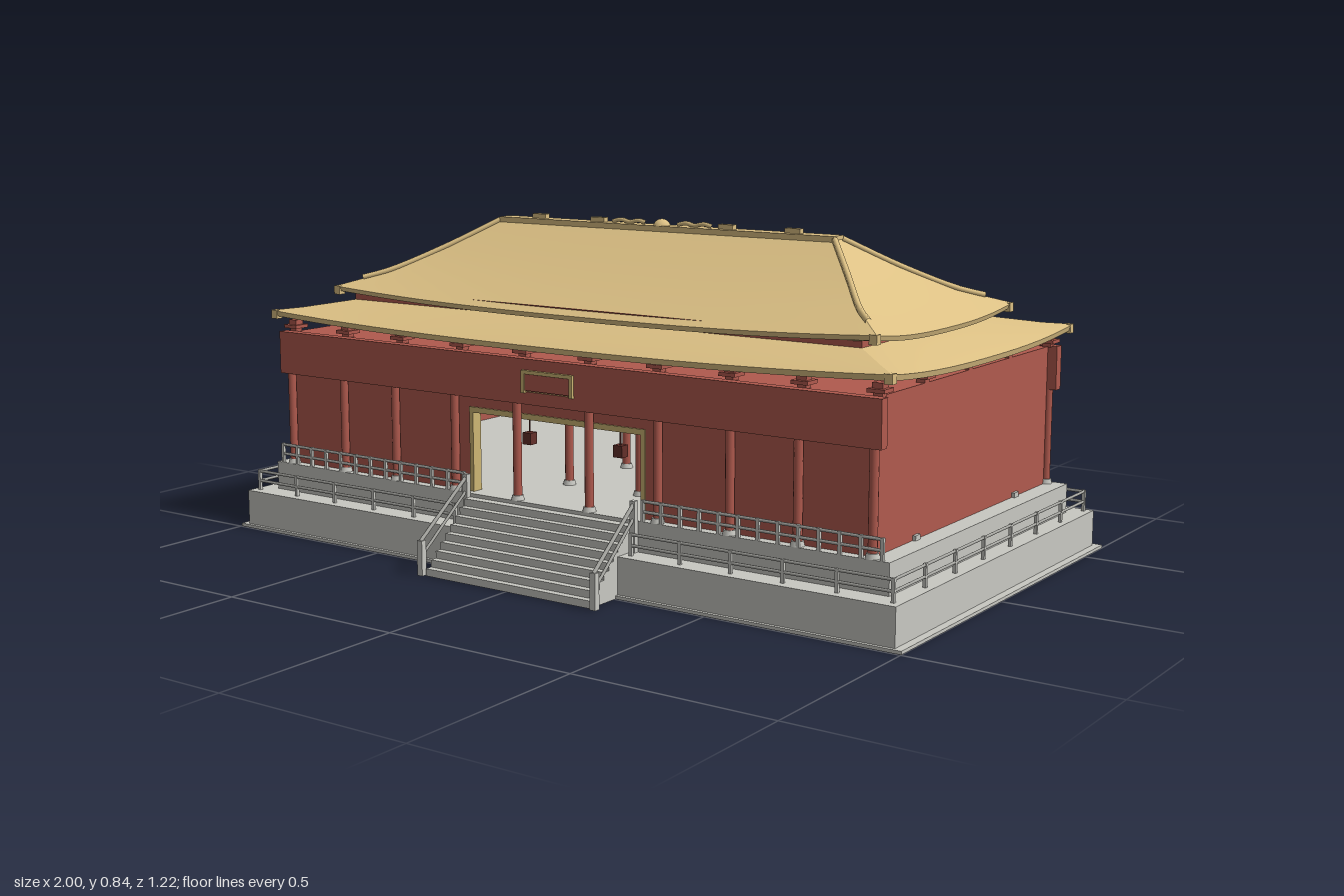
import * as THREE from 'three';

const mat = (name, color, side = THREE.FrontSide) => {
  const m = new THREE.MeshStandardMaterial({ color, side });
  m.name = name;
  return m;
};
const ZC = -0.055; // centre of the hall in z

export function createModel() {
  const root = new THREE.Group();
  root.name = 'hall';
  const stone = mat('stone', 0xc8c8c2);
  const red = mat('red paint', 0xb05a4e);
  const tile = mat('roof tile', 0xdcc084);
  const gold = mat('gold trim', 0xcdb674);
  const dark = mat('dark wood', 0x63302a);
  const rail = mat('railing grey', 0xa9a9a4);

  const add = (name, geo, m, x = 0, y = 0, z = 0, parent = root) => {
    const mesh = new THREE.Mesh(geo, m);
    mesh.name = name;
    mesh.position.set(x, y, z);
    parent.add(mesh);
    return mesh;
  };
  // box given by its limits
  const box = (name, m, x0, x1, y0, y1, z0, z1) =>
    add(name, new THREE.BoxGeometry(x1 - x0, y1 - y0, z1 - z0), m, (x0 + x1) / 2, (y0 + y1) / 2, (z0 + z1) / 2);
  // round bar between two points
  const bar = (name, m, a, b, r, sides = 6) => {
    const A = new THREE.Vector3(...a), B = new THREE.Vector3(...b), d = B.clone().sub(A);
    const mesh = add(name, new THREE.CylinderGeometry(r, r, d.length(), sides), m);
    mesh.position.copy(A).add(B).multiplyScalar(0.5);
    mesh.quaternion.setFromUnitVectors(new THREE.Vector3(0, 1, 0), d.normalize());
    return mesh;
  };

  // Terrace
  box('groundSlab', stone, -1, 1, 0, 0.008, -0.612, 0.497);
  box('lowerTerrace', stone, -0.98, 0.98, 0.008, 0.1, -0.595, 0.488);
  box('upperTerrace', stone, -0.93, 0.93, 0.1, 0.175, -0.535, 0.425);

  // Stairs and their sloping handrails
  const STEPS = 9;
  for (let i = 0; i < STEPS; i++) {
    const h = 0.175 * (i + 1) / (STEPS + 0.5);
    box('step', stone, -0.25, 0.25, 0, h, 0.42, 0.597 - i * 0.0185);
  }
  for (const s of [-1, 1]) {
    box('stairPost', stone, s * 0.263 - 0.008, s * 0.263 + 0.008, 0, 0.088, 0.589, 0.605);
    box('stairTopPost', stone, s * 0.257 - 0.007, s * 0.257 + 0.007, 0.1, 0.225, 0.425, 0.439);
    bar('stairHandrail', rail, [s * 0.263, 0.086, 0.6], [s * 0.257, 0.22, 0.43], 0.005);
    bar('stairLowerRail', rail, [s * 0.263, 0.05, 0.595], [s * 0.257, 0.185, 0.43], 0.004);
  }

  // Railings along straight runs
  const railing = (name, x0, z0, x1, z1, y0, h, n) => {
    for (const f of [0.45, 0.93])
      bar(name + 'Bar', rail, [x0, y0 + h * f, z0], [x1, y0 + h * f, z1], 0.004);
    for (let i = 0; i <= n; i++) {
      const x = x0 + (x1 - x0) * i / n, z = z0 + (z1 - z0) * i / n;
      box(name + 'Post', stone, x - 0.004, x + 0.004, y0, y0 + h, z - 0.004, z + 0.004);
    }
  };
  railing('backRailing', -0.96, -0.575, 0.96, -0.575, 0.1, 0.055, 13);
  for (const s of [-1, 1]) {
    railing('sideRailing', s * 0.96, 0.462, s * 0.96, -0.575, 0.1, 0.055, 7);
    railing('frontRailing', s * 0.27, 0.462, s * 0.96, 0.462, 0.1, 0.055, 5);
    railing('porchRailing', s * 0.275, 0.421, s * 0.91, 0.421, 0.175, 0.052, 12);
  }

  // Walls around an open doorway and a hollow hall
  for (const s of [-1, 1]) {
    const a = s * 0.86, b = s * 0.88;
    box('sideWall', red, Math.min(a, b), Math.max(a, b), 0.175, 0.53, -0.5, 0.4);
    box('frontWall', red, s > 0 ? 0.262 : -0.86, s > 0 ? 0.86 : -0.262, 0.175, 0.53, 0.375, 0.4);
  }
  box('doorLintel', red, -0.262, 0.262, 0.388, 0.53, 0.375, 0.4);
  box('backWall', red, -0.86, 0.86, 0.175, 0.53, -0.5, -0.48);
  box('ceiling', red, -0.86, 0.86, 0.52, 0.53, -0.48, 0.375);
  box('frontBeam', red, -0.905, 0.905, 0.42, 0.532, 0.4, 0.427);
  box('backBeam', red, -0.905, 0.905, 0.42, 0.532, -0.528, -0.5);

  // Columns on stone bases
  const column = (x, z, top = 0.42) => {
    add('column', new THREE.CylinderGeometry(0.011, 0.011, top - 0.185, 12), red, x, (top + 0.185) / 2, z);
    add('columnBase', new THREE.CylinderGeometry(0.014, 0.017, 0.012, 12), stone, x, 0.181, z);
  };
  for (const s of [-1, 1]) {
    for (const x of [0.11, 0.31, 0.51, 0.69, 0.88]) column(s * x, 0.41);
    for (const x of [0.72, 0.88]) column(s * x, -0.513);
    for (const z of [0.2, -0.05, -0.3]) column(s * 0.11, z, 0.52);
    for (const z of [0.21, -0.32])
      box('sideWallBase', stone, s * 0.878 - 0.01, s * 0.878 + 0.01, 0.175, 0.187, z - 0.012, z + 0.012);
    // Lanterns inside the doorway
    box('lantern', dark, s * 0.14 - 0.013, s * 0.14 + 0.013, 0.297, 0.327, 0.31, 0.336);
    bar('lanternCord', dark, [s * 0.14, 0.327, 0.323], [s * 0.14, 0.52, 0.323], 0.002);
    // Door frame
    box('doorJamb', gold, s * 0.262 - 0.006, s * 0.262 + 0.006, 0.175, 0.39, 0.374, 0.404);
  }
  box('doorHead', gold, -0.268, 0.268, 0.377, 0.391, 0.374, 0.404);
  box('innerBeam', gold, -0.13, 0.13, 0.35, 0.357, -0.478, -0.47);
  box('throneScreen', red, -0.03, 0.03, 0.175, 0.31, -0.45, -0.43);

  // Name board, left blank
  box('signPanel', red, -0.07, 0.07, 0.455, 0.495, 0.427, 0.431);
  for (const s of [-1, 1]) {
    box('signFrameSide', gold, s * 0.073 - 0.005, s * 0.073 + 0.005, 0.449, 0.501, 0.427, 0.435);
    box('signFrameRail', gold, -0.078, 0.078, 0.475 + s * 0.021, 0.475 + s * 0.021 + s * 0.005 + 0.004, 0.427, 0.435);
  }

  // Bracket sets under the eaves
  const bracket = (x, z) => {
    box('bracketFoot', red, x - 0.011, x + 0.011, 0.53, 0.54, z - 0.011, z + 0.011);
    box('bracketArm', red, x - 0.022, x + 0.022, 0.54, 0.549, z - 0.022, z + 0.022);
    box('bracketCap', red, x - 0.013, x + 0.013, 0.549, 0.562, z - 0.013, z + 0.013);
  };
  for (const s of [-1, 1]) {
    for (const z of [0.39, -0.5])
      for (const x of [0.1, 0.3, 0.5, 0.69, 0.88]) bracket(s * x, z);
    for (const z of [0.17, -0.055, -0.275]) bracket(s * 0.87, z);
  }

  // Four-sided roof skin from rings [halfX, halfZ, y, cornerLift]
  const ringSkin = (name, m, rings) => {
    const N = 20, pos = [], idx = [];
    for (let k = 0; k < 4; k++) {
      const start = pos.length / 3;
      rings.forEach(([hx, hz, y, lift]) => {
        for (let i = 0; i <= N; i++) {
          const u = -1 + 2 * i / N, h = y + lift * Math.abs(u) ** 2.5;
          const p = [[u * hx, hz], [hx, -u * hz], [-u * hx, -hz], [-hx, u * hz]][k];
          pos.push(p[0], h, p[1]);
        }
      });
      for (let j = 0; j < rings.length - 1; j++)
        for (let i = 0; i < N; i++) {
          const a = start + j * (N + 1) + i, d = a + N + 1;
          idx.push(a, a + 1, d, a + 1, d + 1, d);
        }
    }
    const g = new THREE.BufferGeometry();
    g.setAttribute('position', new THREE.Float32BufferAttribute(pos, 3));
    g.setIndex(idx);
    g.computeVertexNormals();
    return add(name, g, m, 0, 0, ZC);
  };
  const roof = (name, rings, thick, inner) => {
    const [hx, hz, y, lift] = rings[0];
    const low = [hx - 0.004, hz - 0.004, y - thick, lift];
    ringSkin(name + 'Tiles', tile, rings);
    ringSkin(name + 'Eave', tile, [low, rings[0]]);
    ringSkin(name + 'Soffit', tile, [inner, low]);
  };
  roof('lowerRoof', [[0.93, 0.485, 0.565, 0.022], [0.87, 0.425, 0.586, 0.008], [0.77, 0.33, 0.612, 0]],
    0.014, [0.85, 0.42, 0.563, 0]);
  box('roofBand', red, -0.77, 0.77, 0.56, 0.64, ZC - 0.33, ZC + 0.33);
  const upper = [[0.82, 0.355, 0.625, 0.022], [0.72, 0.25, 0.677, 0.006], [0.62, 0.13, 0.745, 0], [0.52, 0.018, 0.815, 0]];
  roof('upperRoof', upper, 0.012, [0.76, 0.32, 0.625, 0]);

  // Hip ridges and corner ends
  for (const sx of [-1, 1])
    for (const sz of [-1, 1]) {
      const pts = [[0.77, 0.3, 0.668], [0.72, 0.25, 0.686], [0.62, 0.13, 0.747], [0.52, 0.018, 0.817]]
        .map(([x, z, y]) => new THREE.Vector3(sx * x, y, ZC + sz * z));
      add('hipRidge', new THREE.TubeGeometry(new THREE.CatmullRomCurve3(pts), 12, 0.008, 6), tile);
      box('upperCornerEnd', tile, sx * 0.812 - 0.01, sx * 0.812 + 0.01, 0.625, 0.648, ZC + sz * 0.347 - 0.01, ZC + sz * 0.347 + 0.01);
      box('lowerCornerEnd', tile, sx * 0.92 - 0.01, sx * 0.92 + 0.01, 0.565, 0.588, ZC + sz * 0.475 - 0.01, ZC + sz * 0.475 + 0.01);
    }

  // Main ridge with its ornaments
  box('mainRidge', tile, -0.52, 0.52, 0.795, 0.825, ZC - 0.025, ZC + 0.025);
  add('ridgePearl', new THREE.SphereGeometry(0.024, 16, 10), tile, 0, 0.818, ZC);
  for (const s of [-1, 1]) {
    for (const x of [0.2, 0.395])
      box('ridgeBlock', tile, s * x - 0.022, s * x + 0.022, 0.825, 0.837, ZC - 0.009, ZC + 0.009);
    const body = [[0.05, 0.829], [0.075, 0.834], [0.1, 0.829], [0.13, 0.834], [0.155, 0.828]]
      .map(([x, y]) => new THREE.Vector3(s * x, y, ZC));
    add('ridgeSerpent', new THREE.TubeGeometry(new THREE.CatmullRomCurve3(body), 16, 0.006, 6), tile);
  }
  return root;
}
